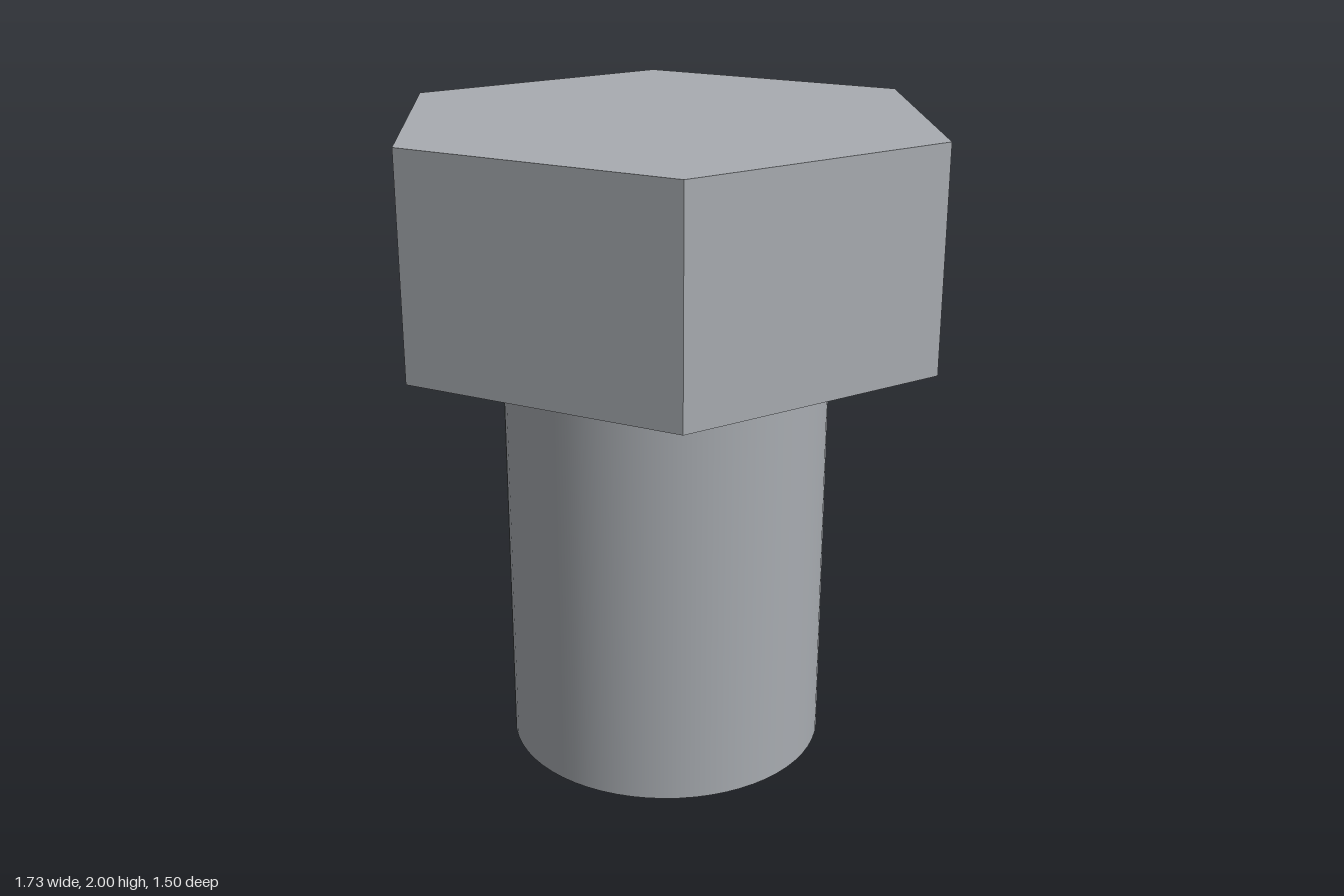
import * as THREE from 'three';

export function createModel() {
  const group = new THREE.Group();
  group.name = 'hexBolt';
  const shankHeight = 4 / 3, headHeight = 2 / 3;
  const steel = new THREE.MeshStandardMaterial({ color: 0xa8acb1 });
  steel.name = 'steel grey';

  // Smooth round shank
  const shank = new THREE.Mesh(new THREE.CylinderGeometry(0.5, 0.5, shankHeight, 64), steel);
  shank.name = 'shank';
  shank.position.y = shankHeight / 2;

  // Hexagonal head with corners on the x axis and unshared, flat side normals
  const hex = new THREE.CylinderGeometry(0.866, 0.866, headHeight, 6, 1, false, Math.PI / 6).toNonIndexed();
  hex.computeVertexNormals();
  const head = new THREE.Mesh(hex, steel);
  head.name = 'head';
  head.position.y = shankHeight + headHeight / 2;

  group.add(shank, head);
  return group;
}
